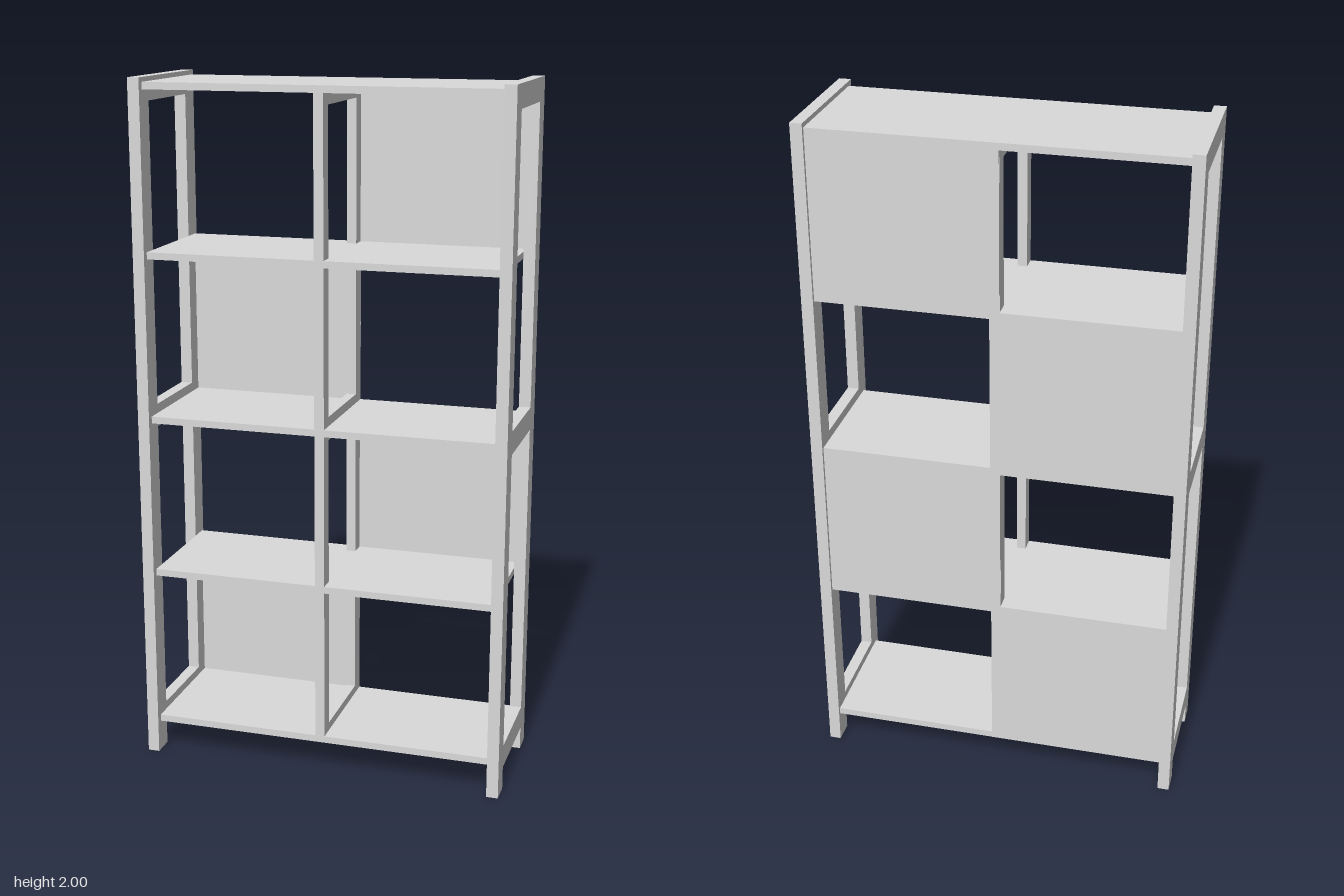
import * as THREE from 'three';

const RAILS = [[0.067, 0.135], [1.003, 1.07], [1.934, 2]];
const SHELF_Y = [0.101, 0.568, 1.033, 1.509, 1.977];
const SHELF_T = 0.02;
const INNER_X = 0.504;
const OUTER_X = 0.538;

export function createModel() {
  const group = new THREE.Group();
  const grey = new THREE.MeshStandardMaterial({ color: 0xdadada });
  grey.name = 'light grey';

  // Box given by its extents on each axis
  function box(name, [x0, x1], [y0, y1], [z0, z1]) {
    const mesh = new THREE.Mesh(new THREE.BoxGeometry(x1 - x0, y1 - y0, z1 - z0), grey);
    mesh.position.set((x0 + x1) / 2, (y0 + y1) / 2, (z0 + z1) / 2);
    mesh.name = name;
    group.add(mesh);
  }

  // Upright frame: a counter-clockwise outline in (-z, y) with two openings, extruded along x
  function frame(name, [x0, x1], [z0, z1], post, bottom, top, hasFeet) {
    const p = (z, y) => new THREE.Vector2(-z, y);
    const a = z0 + post, b = z1 - post;
    const outline = [p(z0, bottom), p(z0, top), p(z1, top), p(z1, bottom)];
    if (hasFeet) outline.push(p(b, bottom), p(b, RAILS[0][0]), p(a, RAILS[0][0]), p(a, bottom));
    const shape = new THREE.Shape(outline);
    for (let i = 0; i < 2; i++) {
      const low = RAILS[i][1], high = RAILS[i + 1][0];
      shape.holes.push(new THREE.Path([p(a, low), p(b, low), p(b, high), p(a, high)]));
    }
    const geometry = new THREE.ExtrudeGeometry(shape, { depth: x1 - x0, bevelEnabled: false });
    geometry.rotateY(Math.PI / 2);
    geometry.translate(x0, 0, 0);
    const mesh = new THREE.Mesh(geometry, grey);
    mesh.name = name;
    group.add(mesh);
  }

  // Side frames with feet
  frame('leftSideFrame', [INNER_X, OUTER_X], [-0.2, 0.2], 0.065, 0, 2, true);
  frame('rightSideFrame', [-OUTER_X, -INNER_X], [-0.2, 0.2], 0.065, 0, 2, true);

  // Central divider frame between the bottom and top shelves
  const half = SHELF_T / 2;
  frame('centreDivider', [-0.014, 0.014], [-0.185, 0.179], 0.045,
    SHELF_Y[0] + half, SHELF_Y[4] - half, false);

  // Shelves
  SHELF_Y.forEach((y, i) =>
    box('shelf' + (i + 1), [-INNER_X, INNER_X], [y - half, y + half], [-0.19, 0.18]));

  // Back panels in a checkerboard, covering shelf edges and divider
  for (let i = 0; i < 4; i++) {
    const x = i % 2 ? [-0.014, INNER_X] : [-INNER_X, 0.014];
    box('backPanel' + (i + 1), x, [SHELF_Y[i] - half, SHELF_Y[i + 1] + half], [-0.1905, -0.186]);
  }
  return group;
}
